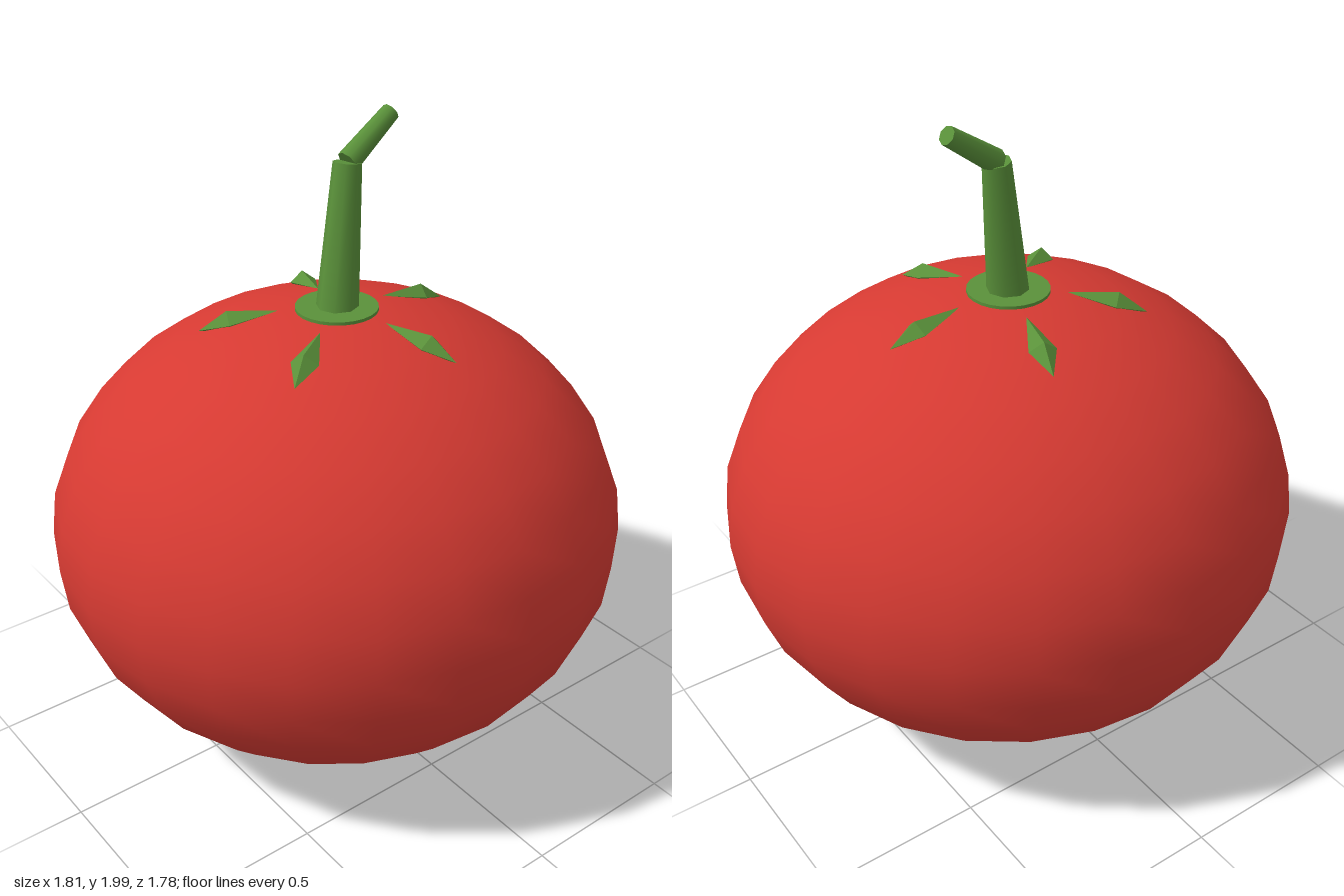
import * as THREE from 'three';

const V = (x, y, z) => new THREE.Vector3(x, y, z);

// Tapered cylinder between two points
function limb(name, a, b, r0, r1, sides, material) {
  const dir = b.clone().sub(a);
  const mesh = new THREE.Mesh(new THREE.CylinderGeometry(r1, r0, dir.length(), sides), material);
  mesh.position.copy(a).add(b).multiplyScalar(0.5);
  mesh.quaternion.setFromUnitVectors(V(0, 1, 0), dir.normalize());
  mesh.name = name;
  return mesh;
}

// Stretched octahedral leaf pointing along +x and drooping at its tip
function leafGeometry() {
  const inner = [0.17, 1.426, 0], outer = [0.415, 1.362, 0];
  const ring = [[0.33, 1.426, 0], [0.32, 1.395, 0.042], [0.31, 1.36, 0], [0.32, 1.395, -0.042]];
  const points = [];
  ring.forEach((p, i) => {
    const q = ring[(i + 1) % 4];
    points.push(...outer, ...p, ...q, ...inner, ...q, ...p);
  });
  const geometry = new THREE.BufferGeometry();
  geometry.setAttribute('position', new THREE.Float32BufferAttribute(points, 3));
  geometry.computeVertexNormals();
  return geometry;
}

export function createModel() {
  const red = new THREE.MeshStandardMaterial({ color: 0xd63a32 });
  red.name = 'tomato red';
  const green = new THREE.MeshStandardMaterial({ color: 0x5a913a });
  green.name = 'stem green';

  const group = new THREE.Group();
  group.name = 'tomato';

  // Squashed round fruit
  const body = new THREE.Mesh(new THREE.SphereGeometry(1, 24, 16), red);
  body.scale.set(0.905, 0.718, 0.888);
  body.position.y = 0.722;
  body.name = 'fruit';
  group.add(body);

  // Flat cap around the stem
  const cap = new THREE.Mesh(new THREE.CylinderGeometry(0.126, 0.126, 0.03, 24), green);
  cap.position.y = 1.425;
  cap.name = 'cap';
  group.add(cap);

  // Leaning stem with a bent tip
  group.add(limb('stem', V(0, 1.41, 0), V(0.063, 1.86, -0.032), 0.066, 0.043, 8, green));
  group.add(limb('stemTip', V(0.065, 1.86, -0.032), V(0.235, 1.975, -0.047), 0.036, 0.028, 8, green));

  // Five leaves around the cap
  const geometry = leafGeometry();
  for (let i = 0; i < 5; i++) {
    const leaf = new THREE.Mesh(geometry, green);
    leaf.rotation.y = (i * Math.PI * 2) / 5;
    leaf.name = 'leaf' + (i + 1);
    group.add(leaf);
  }
  return group;
}
